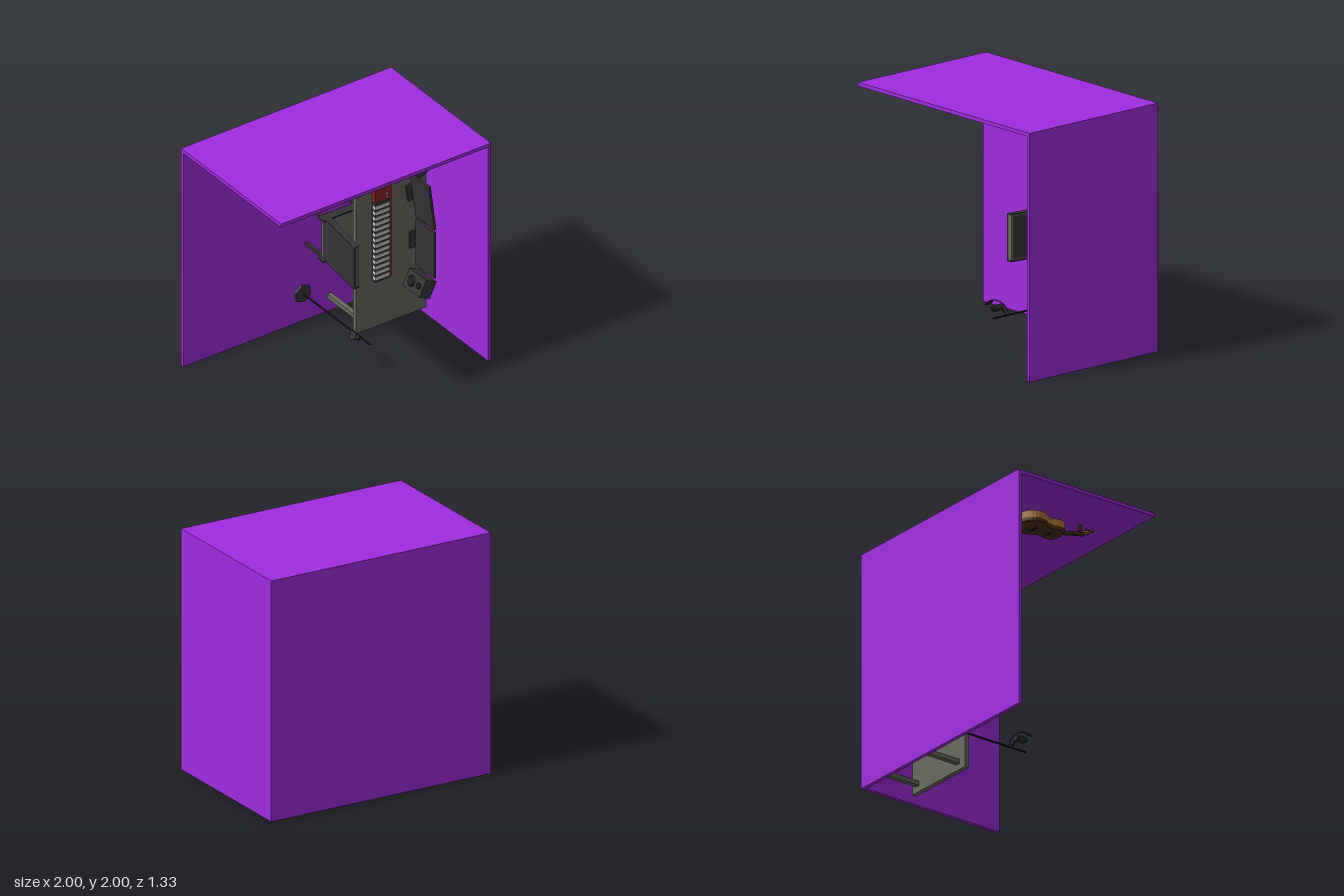
import * as THREE from 'three';

const mat = (color) => new THREE.MeshStandardMaterial({ color, flatShading: true });
const M = {
  wall: mat(0xa02ce0), grey: mat(0x666b60), dark: mat(0x353535), black: mat(0x1c1c1c),
  red: mat(0x8a2428), white: mat(0xc4c4c4), wood: mat(0xa9743a), brown: mat(0x4a2e18),
};
const FLOOR = -0.635, DESK = -0.15;

function mesh(parent, name, geometry, material) {
  const m = new THREE.Mesh(geometry, material);
  m.name = name;
  parent.add(m);
  return m;
}

// Box given by its limits on each axis
function box(parent, name, material, [x0, x1], [y0, y1], [z0, z1]) {
  const m = mesh(parent, name, new THREE.BoxGeometry(x1 - x0, y1 - y0, z1 - z0), material);
  m.position.set((x0 + x1) / 2, (y0 + y1) / 2, (z0 + z1) / 2);
  return m;
}

// Cylinder between two points
function rod(parent, name, material, a, b, r0, r1 = r0, sides = 8) {
  const A = new THREE.Vector3(...a), B = new THREE.Vector3(...b);
  const m = mesh(parent, name, new THREE.CylinderGeometry(r1, r0, A.distanceTo(B), sides), material);
  m.position.copy(A).lerp(B, 0.5);
  m.quaternion.setFromUnitVectors(new THREE.Vector3(0, 1, 0), B.sub(A).normalize());
  return m;
}

function group(parent, name, x = 0, y = 0, z = 0, turn = 0) {
  const g = new THREE.Group();
  g.name = name;
  g.position.set(x, y, z);
  g.rotation.z = turn;
  parent.add(g);
  return g;
}

function room(root) {
  const g = group(root, 'room');
  box(g, 'floor', M.wall, [-1, 1], [0, 2], [-0.667, FLOOR]);
  box(g, 'sideWall', M.wall, [0.97, 1], [0, 2], [FLOOR, 0.667]);
  box(g, 'endWall', M.wall, [-1, 0.97], [1.97, 2], [FLOOR, 0.667]);
}

function desk(root) {
  const g = group(root, 'desk');
  box(g, 'deskTop', M.grey, [0.3, 0.965], [0.07, 1.935], [DESK - 0.04, DESK]);
  for (const x of [0.37, 0.88]) for (const y of [0.12, 1.85])
    box(g, 'deskLeg', M.grey, [x, x + 0.04], [y, y + 0.04], [FLOOR, DESK - 0.04]);
}

function keyboard(root) {
  const g = group(root, 'keyboard');
  box(g, 'keyboardBody', M.red, [0.45, 0.605], [0.515, 1.365], [DESK, DESK + 0.04]);
  box(g, 'keyBed', M.dark, [0.445, 0.588], [0.515, 1.238], [DESK + 0.01, DESK + 0.05]);
  for (let i = 0; i < 14; i++) {
    const y = 0.538 + i * 0.05;
    box(g, 'whiteKey', M.white, [0.443, 0.583], [y, y + 0.027], [DESK + 0.02, DESK + 0.055]);
  }
  for (const y of [1.265, 1.295])
    rod(g, 'knob', M.white, [0.563, y, DESK + 0.03], [0.563, y, DESK + 0.055], 0.007);
}

// Screen standing on the desk, facing -x
function monitor(root, x, y, turn) {
  const g = group(root, 'monitor', x, y, DESK, turn);
  box(g, 'monitorBase', M.dark, [-0.035, 0.038], [-0.075, 0.075], [0, 0.015]);
  box(g, 'monitorNeck', M.dark, [0.005, 0.025], [-0.03, 0.03], [0.015, 0.16]);
  box(g, 'screen', M.dark, [-0.01, 0.01], [-0.21, 0.21], [0.05, 0.3]);
}

// Loudspeaker facing -x
function speaker(root, x, y, turn) {
  const g = group(root, 'speaker', x, y, DESK, turn);
  box(g, 'cabinet', M.dark, [-0.055, 0.055], [-0.075, 0.075], [0, 0.22]);
  for (const [z, r] of [[0.07, 0.052], [0.165, 0.03]])
    rod(g, 'speakerCone', M.black, [-0.05, 0, z], [-0.066, 0, z], r, r * 0.7, 12);
}

function chair(root) {
  const g = group(root, 'chair');
  // Leaning back, drawn as a side profile and extruded across the width
  const slab = (name, material, pts, y0, y1) => {
    const s = new THREE.Shape(pts.map(([x, z]) => new THREE.Vector2(x, -z)));
    const m = mesh(g, name, new THREE.ExtrudeGeometry(s, { depth: y1 - y0, bevelEnabled: false }), material);
    m.rotation.x = -Math.PI / 2;
    m.scale.z = 1;
    // after the turn: extrusion runs along +y, shape height along -z
    m.position.y = y0;
  };
  slab('backCushion', M.grey, [[0.12, 0.1], [0.15, 0.1], [0.22, -0.37], [0.18, -0.37]], 0.7, 1.06);
  slab('backPad', M.dark, [[0.15, 0.085], [0.155, 0.085], [0.225, -0.36], [0.215, -0.36]], 0.71, 1.05);
  slab('backFrame', M.dark, [[0.1, 0.1], [0.122, 0.1], [0.182, -0.4], [0.16, -0.4]], 0.685, 1.07);
  box(g, 'seat', M.grey, [0.16, 0.5], [0.7, 1.06], [-0.42, -0.36]);
  for (const y of [0.685, 1.058]) {
    box(g, 'seatRail', M.dark, [0.13, 0.5], [y, y + 0.012], [-0.43, -0.35]);
    slab('backRail', M.dark, [[0.1, 0.1], [0.15, 0.1], [0.22, -0.4], [0.16, -0.4]], y, y + 0.012);
    for (const x of [0.16, 0.475])
      box(g, 'chairLeg', M.dark, [x, x + 0.025], y < 0.8 ? [y, y + 0.025] : [y - 0.013, y + 0.012], [FLOOR, -0.42]);
  }
}

function microphone(root) {
  const g = group(root, 'microphoneStand');
  const base = rod(g, 'standBase', M.dark, [0.13, 0.26, FLOOR], [0.13, 0.26, FLOOR + 0.02], 0.08, 0.078, 6);
  base.rotateY(0.2);
  rod(g, 'pole', M.black, [0.13, 0.26, FLOOR], [0.13, 0.26, 0.27], 0.008);
  rod(g, 'clampArm', M.black, [0.13, 0.26, 0.13], [0.06, 0.315, 0.14], 0.007);
  rod(g, 'microphoneBody', M.dark, [0.06, 0.315, 0.12], [0.06, 0.315, 0.19], 0.024, 0.028, 10);
  rod(g, 'microphoneHead', M.black, [0.06, 0.315, 0.19], [0.06, 0.315, 0.225], 0.028, 0.017, 10);
  // Screen ring on a bent arm
  const path = new THREE.CatmullRomCurve3([[0.13, 0.26, 0.11], [0.09, 0.31, 0.1], [0.05, 0.36, 0.14],
    [0.035, 0.375, 0.2], [0.012, 0.352, 0.25]].map((p) => new THREE.Vector3(...p)));
  mesh(g, 'bentArm', new THREE.TubeGeometry(path, 16, 0.004, 6), M.black);
  rod(g, 'popScreen', M.black, [0.016, 0.352, 0.21], [0.012, 0.356, 0.21], 0.036, 0.036, 16);
}

function guitar(root) {
  const g = group(root, 'guitar', -0.52, 0, 0);
  // Half outline of the body as [half width, z], mirrored to a closed curve
  const half = [[0.06, -0.28], [0.125, -0.22], [0.13, -0.14], [0.085, -0.05], [0.1, 0.03], [0.085, 0.09], [0.035, 0.11]];
  const pts = [...half, ...half.map(([x, z]) => [-x, z]).reverse()].map(([x, z]) => new THREE.Vector3(x, z, 0));
  const outline = new THREE.CatmullRomCurve3(pts, true).getPoints(36).slice(0, -1).map((p) => new THREE.Vector2(p.x, p.y));
  const sides = mesh(g, 'guitarBody', new THREE.ExtrudeGeometry(new THREE.Shape(outline), { depth: 0.06, bevelEnabled: false }), M.wood);
  sides.rotation.x = Math.PI / 2;
  sides.position.y = 1.905;
  // Arched front plate
  const front = mesh(g, 'frontPlate', new THREE.ExtrudeGeometry(new THREE.Shape(outline),
    { depth: 0.015, bevelThickness: 0.02, bevelSize: 0.035, bevelOffset: -0.035, bevelSegments: 3 }), M.brown);
  front.rotation.x = Math.PI / 2;
  front.position.y = 1.84;
  rod(g, 'soundHole', M.black, [0, 1.81, -0.01], [0, 1.803, -0.01], 0.03, 0.03, 16);
  box(g, 'bridge', M.black, [-0.045, 0.045], [1.797, 1.81], [-0.17, -0.15]);
  const neck = box(g, 'neck', M.brown, [-0.017, 0.017], [1.855, 1.88], [0.02, 0.34]);
  neck.rotation.x = -0.22;
  const head = box(g, 'headstock', M.wood, [-0.026, 0.026], [1.92, 1.94], [0.32, 0.42]);
  head.rotation.x = -0.35;
  for (const s of [-1, 1]) for (const z of [0.34, 0.37, 0.4])
    rod(g, 'tuningPeg', M.black, [s * 0.02, 1.93, z], [s * 0.04, 1.93, z], 0.006);
  box(g, 'wallHook', M.brown, [-0.012, 0.012], [1.92, 1.97], [0.29, 0.31]);
}

export function createModel() {
  const root = new THREE.Group();
  root.name = 'studioRoom';
  room(root);
  desk(root);
  keyboard(root);
  monitor(root, 0.812, 1.195, 0.13);
  monitor(root, 0.837, 0.752, 0);
  speaker(root, 0.757, 1.537, 0.56);
  speaker(root, 0.826, 0.398, -0.44);
  chair(root);
  microphone(root);
  guitar(root);
  return root;
}
